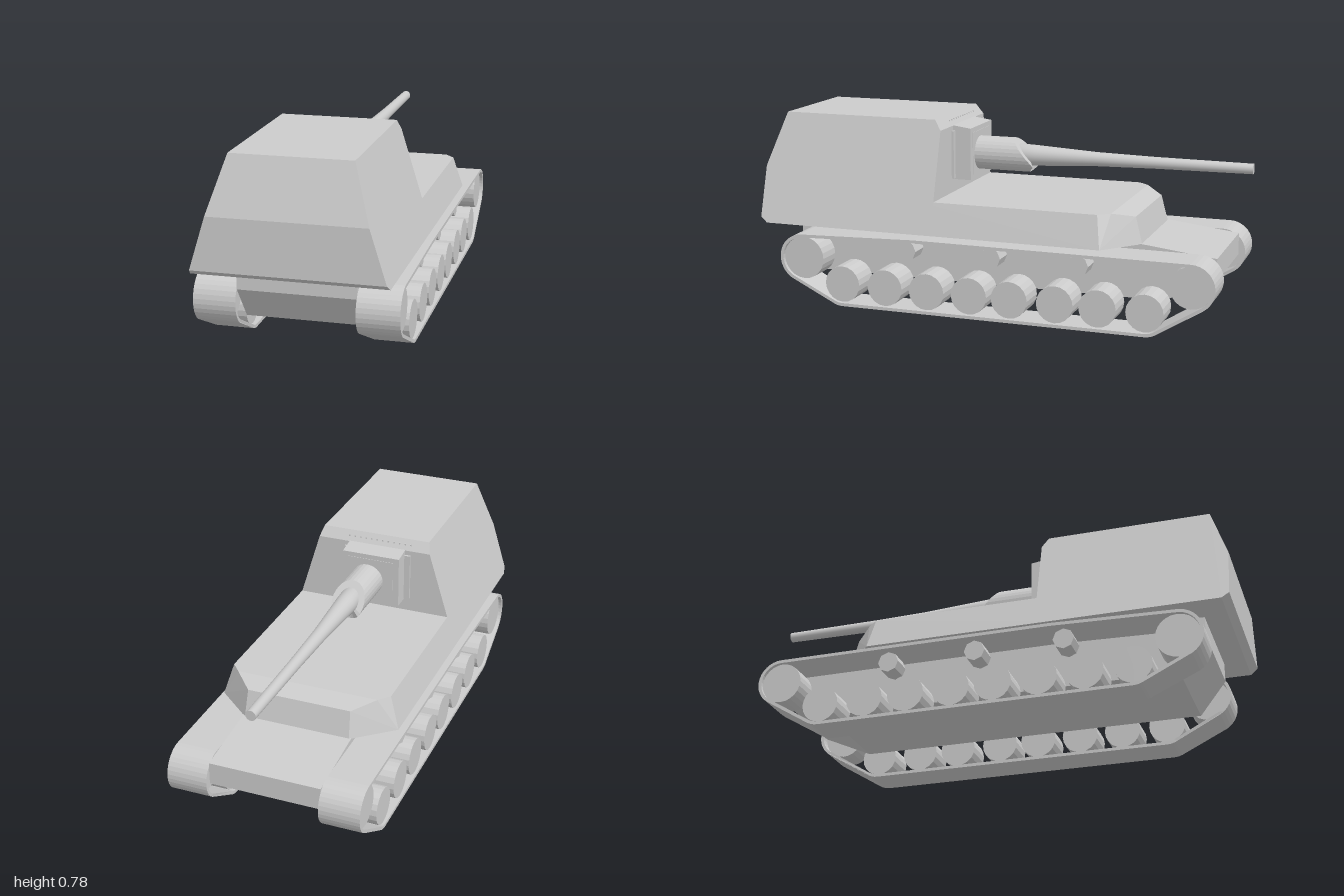
import * as THREE from 'three';
import { ConvexGeometry } from 'three/addons/geometries/ConvexGeometry.js';

const flat = new THREE.MeshStandardMaterial({ color: 0xcccccc, flatShading: true });
const smooth = new THREE.MeshStandardMaterial({ color: 0xcccccc });

const GUN_Y = 0.611;

function add(parent, name, geometry, material = flat) {
  const mesh = new THREE.Mesh(geometry, material);
  mesh.name = name;
  parent.add(mesh);
  return mesh;
}

// Faceted solid from right-hand corner points mirrored across x = 0
function mirroredHull(points) {
  return new ConvexGeometry(points.flatMap(([x, y, z]) =>
    [new THREE.Vector3(x, y, z), new THREE.Vector3(-x, y, z)]));
}

function box(x0, x1, y0, y1, z0, z1) {
  return new THREE.BoxGeometry(x1 - x0, y1 - y0, z1 - z0)
    .translate((x0 + x1) / 2, (y0 + y1) / 2, (z0 + z1) / 2);
}

// Half width of the sloped upper sides at height y
const sideX = y => 0.375 - (y - 0.325) * 0.309;

// Belt outline in (z, y); inset moves it inwards
function beltPoints(inset) {
  const arcs = [
    [0.798, 0.19, 0.102, 93, -59, 14],
    [0.62, 0.09, 0.09, -59, -90, 4],
    [-0.665, 0.09, 0.09, -90, -123, 4],
    [-0.842, 0.208, 0.097, -123, -270, 14],
  ];
  const pts = [];
  for (const [cz, cy, r, a0, a1, n] of arcs) {
    for (let i = 0; i <= n; i++) {
      const a = THREE.MathUtils.degToRad(a0 + (a1 - a0) * i / n);
      pts.push(new THREE.Vector2(cz + (r - inset) * Math.cos(a), cy + (r - inset) * Math.sin(a)));
    }
  }
  pts.push(new THREE.Vector2(0.3, 0.307 - inset));
  return pts;
}

function wheel(parent, name, z, y, r, x0, x1, sides) {
  const g = new THREE.CylinderGeometry(r, r, x1 - x0, sides).rotateZ(Math.PI / 2);
  add(parent, name, g).position.set((x0 + x1) / 2, y, z);
}

function runningGear(side) {
  const group = new THREE.Group();
  group.name = side > 0 ? 'leftRunningGear' : 'rightRunningGear';

  // Open belt, slightly wider in its upper part where it meets the hull
  const shape = new THREE.Shape(beltPoints(0));
  shape.holes.push(new THREE.Path(beltPoints(0.013).reverse()));
  const belt = new THREE.ExtrudeGeometry(shape, { depth: 0.155, bevelEnabled: false });
  belt.rotateY(-Math.PI / 2).translate(side > 0 ? 0.395 : -0.24, 0, 0);
  const p = belt.attributes.position;
  for (let i = 0; i < p.count; i++)
    if (Math.abs(p.getX(i)) < 0.3 && p.getY(i) > 0.1) p.setX(i, side * 0.229);
  add(group, 'trackBelt', belt);

  const span = (a, b) => side > 0 ? [a, b] : [-b, -a];
  const [w0, w1] = span(0.255, 0.385);
  for (const z of [0.622, 0.432, 0.248, 0.064, -0.108, -0.298, -0.473, -0.663])
    wheel(group, 'roadWheel', z, 0.092, 0.076, w0, w1, 20);
  const [e0, e1] = span(0.27, 0.38);
  wheel(group, 'rearEndWheel', 0.798, 0.19, 0.089, e0, e1, 24);
  wheel(group, 'frontEndWheel', -0.842, 0.208, 0.084, e0, e1, 24);
  const [r0, r1] = span(0.275, 0.36);
  for (const z of [0.345, -0.02, -0.385])
    wheel(group, 'returnRoller', z, 0.25, 0.043, r0, r1, 8);
  return group;
}

function gun() {
  const group = new THREE.Group();
  group.name = 'gun';

  // Mount plate and mantlet with a sloping top
  add(group, 'mountPlate', box(-0.165, 0.13, 0.515, 0.715, 0.222, 0.245));
  const mantlet = box(-0.14, 0.11, 0.51, 0.737, 0.155, 0.235);
  const mp = mantlet.attributes.position;
  for (let i = 0; i < mp.count; i++)
    if (mp.getY(i) > 0.7 && mp.getZ(i) < 0.2) mp.setY(i, 0.726);
  add(group, 'mantlet', mantlet);
  add(group, 'mantletInset', box(-0.115, 0.085, 0.53, 0.706, 0.153, 0.16));

  // Sleeve cut obliquely at its forward end
  const sleeve = new THREE.CylinderGeometry(0.07, 0.07, 0.2, 28).rotateX(-Math.PI / 2);
  const sp = sleeve.attributes.position;
  for (let i = 0; i < sp.count; i++) {
    const y = sp.getY(i) + GUN_Y;
    const cut = y > 0.57 ? -(0.685 - y) * 0.87 : -0.1 + (0.57 - y);
    sp.setZ(i, sp.getZ(i) < 0 ? cut : 0.16);
  }
  add(group, 'sleeve', sleeve.translate(0, GUN_Y, 0));

  // Tapered barrel running to the muzzle
  const profile = [[0, -0.05], [0.049, -0.05], [0.043, 0.1], [0.029, 0.36], [0.024, 0.6], [0.021, 1]]
    .map(([r, d]) => new THREE.Vector2(r, d));
  const barrel = new THREE.LatheGeometry(profile, 24).rotateX(-Math.PI / 2);
  add(group, 'barrel', barrel.translate(0, GUN_Y, 0), smooth);
  const muzzle = new THREE.CircleGeometry(0.021, 24).rotateY(Math.PI);
  add(group, 'muzzle', muzzle.translate(0, GUN_Y, -1));
  return group;
}

export function createModel() {
  const model = new THREE.Group();
  model.name = 'trackedGunVehicle';

  // Lower hull between the tracks
  add(model, 'lowerHull', mirroredHull([
    [0.229, 0.33, 0.88], [0.229, 0.245, 0.88], [0.229, 0.105, 0.77],
    [0.229, 0.105, -0.7], [0.229, 0.2, -0.91], [0.229, 0.292, -0.91], [0.229, 0.328, -0.6],
  ]));

  // Forward deck with clipped corners
  add(model, 'deck', mirroredHull([
    [0.375, 0.325, 0.3], [0.375, 0.325, -0.476], [0.22, 0.325, -0.608],
    [sideX(0.456), 0.456, 0.3], [sideX(0.456), 0.456, -0.455],
    [0.295, 0.456, -0.5], [0.215, 0.433, -0.58],
  ]));

  // Tall casemate at the back
  add(model, 'casemate', mirroredHull([
    [0.375, 0.325, 0.97], [sideX(0.347), 0.347, 1], [sideX(0.555), 0.555, 1],
    [sideX(0.777), 0.777, 0.928], [sideX(0.777), 0.777, 0.26],
    [sideX(0.735), 0.735, 0.232], [0.375, 0.325, 0.232],
  ]));

  // Row of bolts along the front edge of the casemate roof
  for (let i = 0; i < 12; i++) {
    const x = -0.16 + i * 0.025;
    add(model, 'roofBolt', box(x - 0.003, x + 0.003, 0.753, 0.759, 0.244, 0.25));
  }

  model.add(gun(), runningGear(1), runningGear(-1));
  return model;
}
